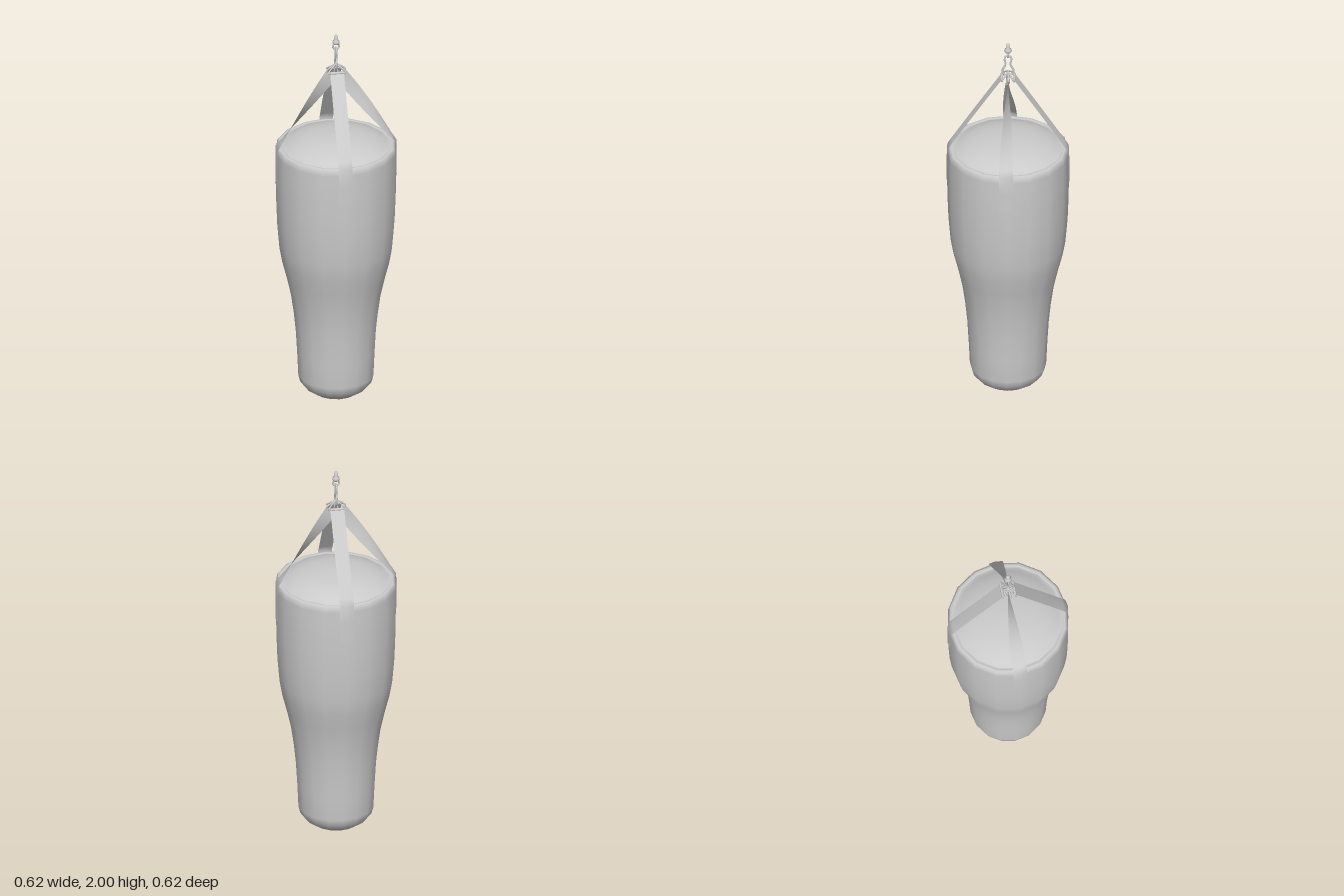
import * as THREE from 'three';

const grey = new THREE.MeshStandardMaterial({ color: 0xcccccc });
const cloth = new THREE.MeshStandardMaterial({ color: 0xcccccc, side: THREE.DoubleSide });
const V = (x, y, z) => new THREE.Vector3(x, y, z);

function add(parent, name, geometry, material = grey) {
  const mesh = new THREE.Mesh(geometry, material);
  mesh.name = name;
  parent.add(mesh);
  return mesh;
}

// Closed bent-wire loop through the given points
function wire(points, radius, tension, segments = 36) {
  const path = new THREE.CatmullRomCurve3(points, true, 'catmullrom', tension);
  return new THREE.TubeGeometry(path, segments, radius, 6, true);
}

// Webbing strap running outward along +z: hook end, rim, then sewn flap.
// twist turns the hook end a quarter turn about the strap's own length.
function strapGeometry(top, twist) {
  const rows = 14, rimRow = 12;
  const rim = V(0, 1.395, 0.306);
  const flap = V(0, 1.2, 0.308);
  const along = rim.clone().sub(top).normalize();
  const geo = new THREE.PlaneGeometry(1, 1, 2, rows);
  const pos = geo.attributes.position;
  for (let r = 0; r <= rows; r++) {
    const t = Math.min(r / rimRow, 1);
    const centre = r <= rimRow
      ? top.clone().lerp(rim, t)
      : rim.clone().lerp(flap, (r - rimRow) / (rows - rimRow));
    const across = V(1, 0, 0).applyAxisAngle(along, twist * (1 - t));
    for (let c = 0; c < 3; c++) {
      const p = centre.clone().addScaledVector(across, (c - 1) * 0.035);
      if (c !== 1) p.z -= 0.006 * t * t;   // edges wrap round the bag
      pos.setXYZ(r * 3 + c, p.x, p.y, p.z);
    }
  }
  geo.computeVertexNormals();
  return geo;
}

export function createModel() {
  const model = new THREE.Group();
  model.name = 'hangingPunchBag';

  // Padded body with rounded base, rolled rim and domed lid
  const profile = [
    [0, 0], [0.06, 0.006], [0.115, 0.025], [0.158, 0.055], [0.182, 0.085], [0.191, 0.12],
    [0.197, 0.25], [0.204, 0.37], [0.214, 0.47], [0.228, 0.57], [0.25, 0.67], [0.273, 0.76],
    [0.287, 0.84], [0.298, 0.97], [0.303, 1.1], [0.305, 1.22], [0.305, 1.36], [0.301, 1.386],
    [0.291, 1.395], [0.279, 1.393], [0.27, 1.389], [0.25, 1.404], [0.2, 1.425],
    [0.14, 1.44], [0.07, 1.448], [0, 1.45],
  ].map(([x, y]) => new THREE.Vector2(x, y));
  add(model, 'bagBody', new THREE.LatheGeometry(profile, 16));

  // Four straps, each with a triangular ring; the side pair is twisted
  const apex = V(0, 1.84, 0);
  for (let i = 0; i < 4; i++) {
    const side = i % 2 === 1;
    const arm = new THREE.Group();
    arm.name = ['frontStrap', 'leftStrap', 'backStrap', 'rightStrap'][i];
    arm.rotation.y = i * Math.PI / 2;
    model.add(arm);
    const top = side ? V(0, 1.785, 0.022) : V(0, 1.805, 0.034);
    add(arm, 'webbing', strapGeometry(top, side ? Math.PI / 2 : 0), cloth);
    const corners = side
      ? [V(0.006, 1.765, -0.012), V(0.006, 1.807, 0.05), apex]
      : [V(-0.044, 1.805, 0.031), V(0.044, 1.805, 0.031), apex];
    add(arm, 'triangleRing', wire(corners, 0.004, 0.15));
    // Folded hem round the ring bar
    if (!side) {
      const hem = add(arm, 'hem', new THREE.CylinderGeometry(0.007, 0.007, 0.07, 8));
      hem.rotation.z = Math.PI / 2;
      hem.position.set(0, 1.805, 0.031);
    }
  }

  // Waisted hook that gathers the rings
  const half = [[0.018, 1.822], [0.028, 1.845], [0.013, 1.88], [0.017, 1.908], [0.012, 1.927]];
  const hookPath = [
    ...half.map(([z, y]) => V(0, y, z)),
    ...half.slice().reverse().map(([z, y]) => V(0, y, -z)),
  ];
  add(model, 'hook', wire(hookPath, 0.005, 0.5, 60));

  // Swivel: eye, collar and stem
  const eye = add(model, 'swivelEye', new THREE.TorusGeometry(0.016, 0.005, 8, 20));
  eye.position.y = 1.941;
  const swivel = [[0, 1.952], [0.014, 1.952], [0.019, 1.96], [0.017, 1.97], [0.011, 1.975],
    [0.011, 1.99], [0.008, 2], [0, 2]].map(([x, y]) => new THREE.Vector2(x, y));
  add(model, 'swivelBody', new THREE.LatheGeometry(swivel, 12));

  return model;
}
